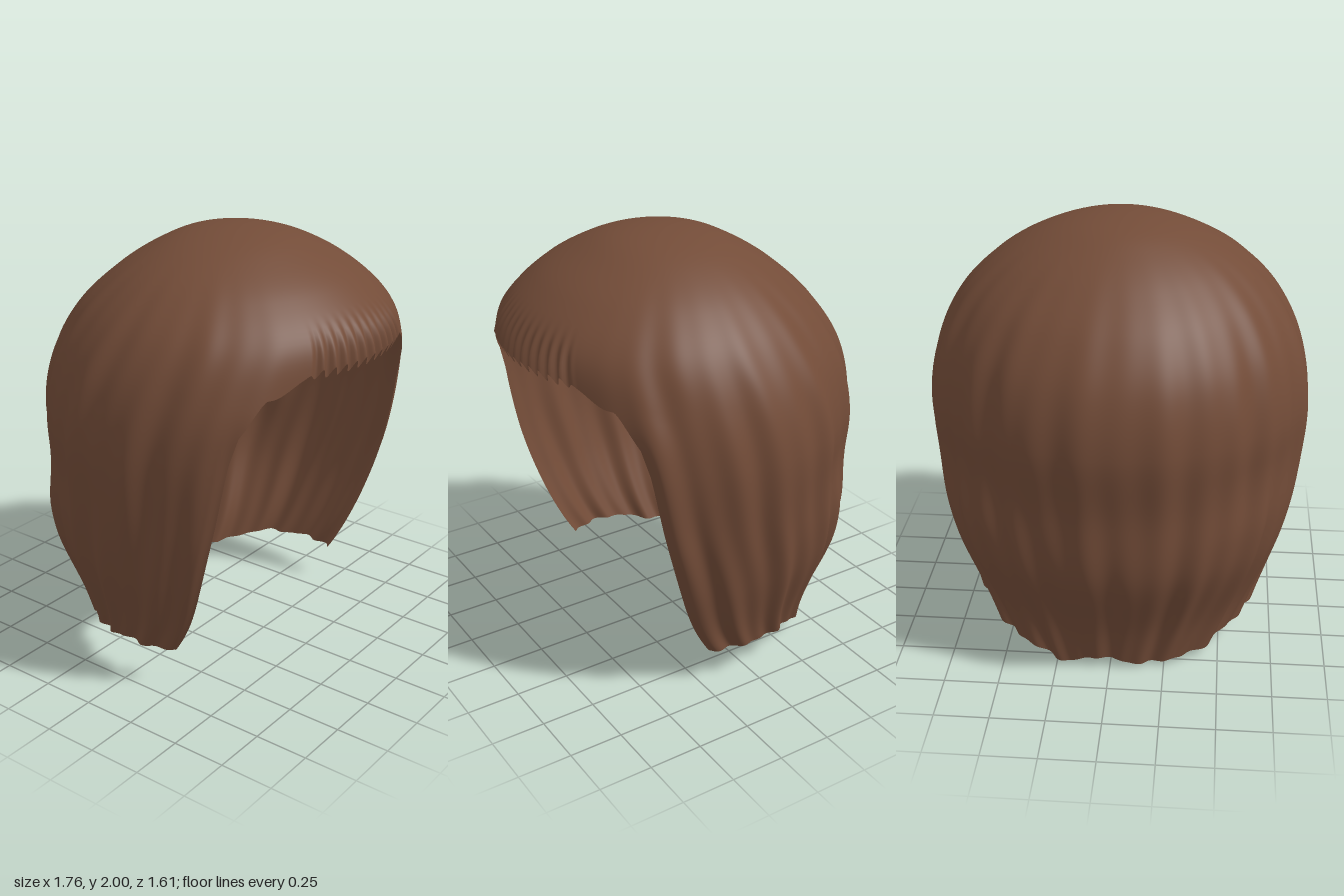
import * as THREE from 'three';

const COLS = 640, UPPER = 46, LOWER = 34; // columns round the head, rows of the cap, rows of the curtains
const Q_CAP = 0.9;  // q = sqrt(2 - y) where the cap rows end
const EDGE = 0.76;  // angle where the fringe meets the side curtains
const smooth = THREE.MathUtils.smoothstep;
const bump = (x, centre, width) => Math.exp(-(((x - centre) / width) ** 2));

// Cross-sections at equal steps of q: half width, front z, back z
const profile = new THREE.CatmullRomCurve3([
  [0, 0.07, 0.07], [0.203, 0.272, -0.133], [0.395, 0.44, -0.292], [0.577, 0.625, -0.462],
  [0.73, 0.772, -0.628], [0.833, 0.803, -0.748], [0.877, 0.8, -0.797], [0.855, 0.77, -0.77],
  [0.795, 0.72, -0.75], [0.68, 0.65, -0.615], [0.6, 0.6, -0.54],
].map((p) => new THREE.Vector3(...p)), false, 'catmullrom', 0.5);

// Lower hem height from the front edge (v = 0) round to the nape (v = 1)
const hemLine = new THREE.SplineCurve([
  [0, 0.17], [0.2, 0.165], [0.4, 0.125], [0.6, 0.06], [0.8, 0.012], [1, 0.055],
].map((p) => new THREE.Vector2(...p)));

// Fine comb teeth of the fringe, fading out to the sides
const teeth = (a) => Math.cos(80 * a) * (1 - smooth(Math.abs(a), 0.4, 0.5));

function hemHeight(a) {
  const m = Math.abs(a);
  if (m < EDGE) {
    return 1.525 + 0.022 * teeth(a) - 0.07 * smooth(m, 0.45, 0.65) - 0.16 * smooth(m, 0.67, 0.77);
  }
  const v = (m - EDGE) / (Math.PI - EDGE);
  return hemLine.getPoint(v).y + 0.01 * Math.sin(9 * a) * smooth(v, 0.1, 0.4);
}

// Cap rows stop at the fringe hem; curtain rows spread down to the lower hem
function rowQ(a, j) {
  const hemQ = Math.sqrt(2 - hemHeight(a));
  if (j <= UPPER) return Math.min(hemQ, (Q_CAP * j) / UPPER);
  return Math.min(hemQ, Q_CAP) + Math.max(0, hemQ - Q_CAP) * (j - UPPER) / LOWER;
}

function hairPoint(a, q) {
  const y = 2 - q * q;
  const m = Math.abs(a);

  // Curtain edges sweep backwards towards the bottom
  const d = Math.max(0, 1.45 - y);
  const edge = EDGE + 0.2 * d + 0.07 * d ** 5;
  const angle = Math.PI - (Math.PI - m) * (Math.PI - edge) / (Math.PI - EDGE);

  // Soft wavy locks, stronger lower down, calmer at the fringe and nape
  const wave = 0.6 * Math.sin(4 * y);
  const locks = 0.5 * Math.sin(17 * a + 0.6 + wave) + 0.35 * Math.sin(29 * a + 2 - wave);
  const calm = smooth(m, 0.4, 1) * (1 - 0.4 * smooth(m, 2.5, 3));
  let offset = 0.02 * locks * smooth(q, 0.25, 1.1) * calm;
  offset += 0.012 * teeth(a) * (1 - smooth(y, 1.56, 1.74));
  // Back corners are drawn in over the head and swell out below it
  offset += bump(m, 2.2, 0.35) * smooth(q, 0.4, 0.9) * (0.015 - 0.035 * smooth(y, 0.7, 1.05));
  // Narrow inward roll along the curtain edges
  offset -= 0.015 * (1 - smooth(m, EDGE, EDGE + 0.07)) * smooth(d, 0.05, 0.3);

  // Fuller temples beside the face
  const temple = 0.05 * bump(m, 0.78, 0.22) * smooth(q, 0.55, 0.85) * (1 - smooth(d, 0.6, 1.25));

  const p = profile.getPoint(q / 1.5);
  const halfDepth = (p.y - p.z) / 2;
  const x = Math.sign(a) * ((p.x + offset) * Math.sin(angle) + temple);
  const z = (p.y + p.z) / 2 + (halfDepth + offset) * Math.cos(angle);
  return [x, y, z];
}

export function createModel() {
  const brown = new THREE.MeshStandardMaterial({ color: 0x734c38, side: THREE.DoubleSide });
  brown.name = 'brown';

  // One sheet of hair running from a shared crown point down to the hem
  const rows = UPPER + LOWER;
  const columnAngle = (i) => -Math.PI + (2 * Math.PI * ((i % COLS) + 0.5)) / COLS;
  const isCurtain = (i) => Math.abs(columnAngle(i)) >= EDGE;
  const positions = [...hairPoint(0, 0)];
  for (let i = 0; i < COLS; i++) {
    const a = columnAngle(i);
    for (let j = 1; j <= rows; j++) positions.push(...hairPoint(a, rowQ(a, j)));
  }
  const id = (i, j) => (j === 0 ? 0 : 1 + (i % COLS) * rows + j - 1);
  const index = [];
  for (let i = 0; i < COLS; i++) {
    const end = isCurtain(i) && isCurtain(i + 1) ? rows : UPPER;
    for (let j = 0; j < end; j++) {
      const leftOpen = rowQ(columnAngle(i), j + 1) > rowQ(columnAngle(i), j);
      const rightOpen = rowQ(columnAngle(i + 1), j + 1) > rowQ(columnAngle(i + 1), j);
      if (leftOpen) index.push(id(i, j), id(i, j + 1), id(i + 1, j + 1));
      if (rightOpen && j > 0) index.push(id(i, j), id(i + 1, j + 1), id(i + 1, j));
    }
  }
  const geometry = new THREE.BufferGeometry();
  geometry.setAttribute('position', new THREE.Float32BufferAttribute(positions, 3));
  geometry.setIndex(index);
  geometry.computeVertexNormals();

  const hair = new THREE.Mesh(geometry, brown);
  hair.name = 'hair';
  const group = new THREE.Group();
  group.name = 'bobHairstyle';
  group.add(hair);
  return group;
}
